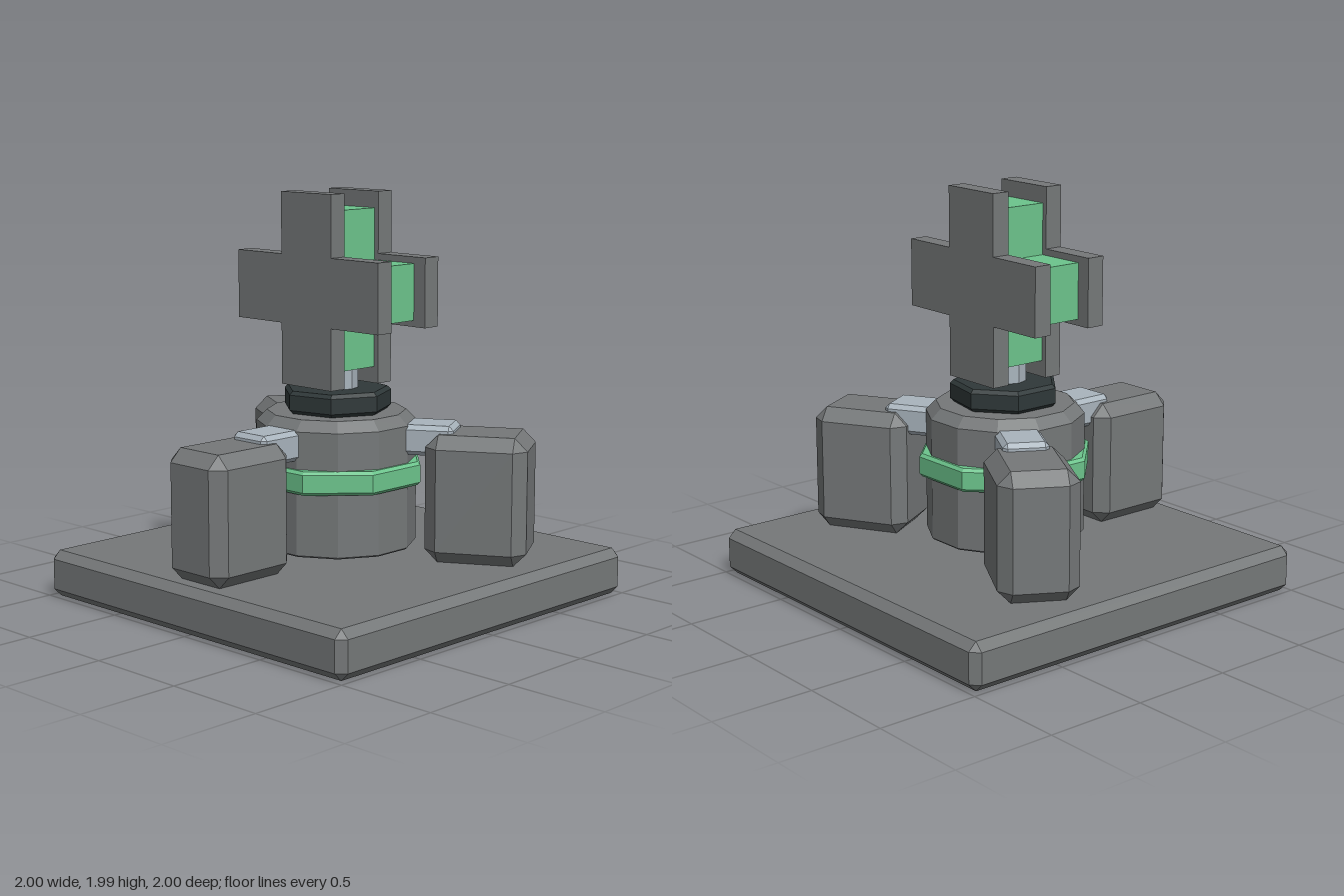
import * as THREE from 'three';
import { ConvexGeometry } from 'three/addons/geometries/ConvexGeometry.js';

const mat = (name, color) => Object.assign(new THREE.MeshStandardMaterial({ color }), { name });

// Box with every edge cut at 45 degrees
function chamferBox(w, h, d, c) {
  const pts = [];
  const [x, y, z] = [w / 2, h / 2, d / 2];
  for (const i of [-1, 1]) for (const j of [-1, 1]) for (const k of [-1, 1]) {
    pts.push(new THREE.Vector3(i * x, j * (y - c), k * (z - c)));
    pts.push(new THREE.Vector3(i * (x - c), j * y, k * (z - c)));
    pts.push(new THREE.Vector3(i * (x - c), j * (y - c), k * z));
  }
  return new ConvexGeometry(pts);
}

// Faceted upright prism with chamfered rims; r is the corner radius
function prism(sides, r, y0, y1, cBottom, cTop, turn) {
  const profile = [[0, y0], [r - cBottom, y0], [r, y0 + cBottom], [r, y1 - cTop], [r - cTop, y1], [0, y1]]
    .map(([x, y]) => new THREE.Vector2(x, y));
  const g = new THREE.LatheGeometry(profile, sides).toNonIndexed();
  g.rotateY(turn);
  g.computeVertexNormals();
  return g;
}

// Plus sign centred on the origin: half width of bars, half reach sideways and upward, bar half height
function cross(barX, reachX, barY, reachY, depth) {
  const s = new THREE.Shape([
    [-barX, -reachY], [barX, -reachY], [barX, -barY], [reachX, -barY], [reachX, barY], [barX, barY],
    [barX, reachY], [-barX, reachY], [-barX, barY], [-reachX, barY], [-reachX, -barY], [-barX, -barY],
  ].map(([x, y]) => new THREE.Vector2(x, y)));
  return new THREE.ExtrudeGeometry(s, { depth, bevelEnabled: false }).translate(0, 0, -depth / 2);
}

export function createModel() {
  const grey = mat('stone grey', 0x757879);
  const green = mat('green', 0x6cc48c);
  const dark = mat('dark collar', 0x2f3839);
  const light = mat('light metal', 0xa9b4bd);

  const model = new THREE.Group();
  model.name = 'crossBeacon';
  const add = (name, geometry, material, x = 0, y = 0, z = 0, parent = model) => {
    const m = new THREE.Mesh(geometry, material);
    m.name = name;
    m.position.set(x, y, z);
    parent.add(m);
    return m;
  };

  // Square base slab
  add('base', chamferBox(2, 0.23, 2, 0.04), grey, 0, 0.115, 0);

  // Central drum, its band, collar and post
  add('drum', prism(12, 0.375 / Math.cos(Math.PI / 12), 0.275, 0.93, 0.008, 0.05, Math.PI / 12), grey);
  add('band', prism(8, 0.4 / Math.cos(Math.PI / 8), 0.585, 0.7, 0.015, 0.015, Math.PI / 8), green);
  add('collar', prism(7, 0.267, 0.93, 1.04, 0.018, 0.018, Math.PI / 2), dark);
  add('post', prism(10, 0.105, 1.03, 1.16, 0, 0, Math.PI / 2), light);

  // Three outer pillars, each tied to the drum by an arm
  for (let i = 0; i < 3; i++) {
    const support = new THREE.Group();
    support.name = ['frontSupport', 'backLeftSupport', 'backRightSupport'][i];
    support.rotation.y = i * Math.PI * 2 / 3;
    add('pillar', chamferBox(0.38, 0.62, 0.49, 0.062), grey, 0, 0.54, 0.712, support);
    add('arm', chamferBox(0.22, 0.147, 0.3, 0.022), light, 0, 0.812, 0.445, support);
    model.add(support);
  }

  // Cross: green core between two larger grey plates
  add('crossCore', cross(0.14, 0.395, 0.135, 0.383, 0.24), green, 0, 1.523, 0);
  for (const side of [1, -1]) {
    add(side > 0 ? 'crossFrontPlate' : 'crossBackPlate',
      cross(0.165, 0.465, 0.166, 0.463, 0.092), grey, 0, 1.523, side * 0.162);
  }
  return model;
}
